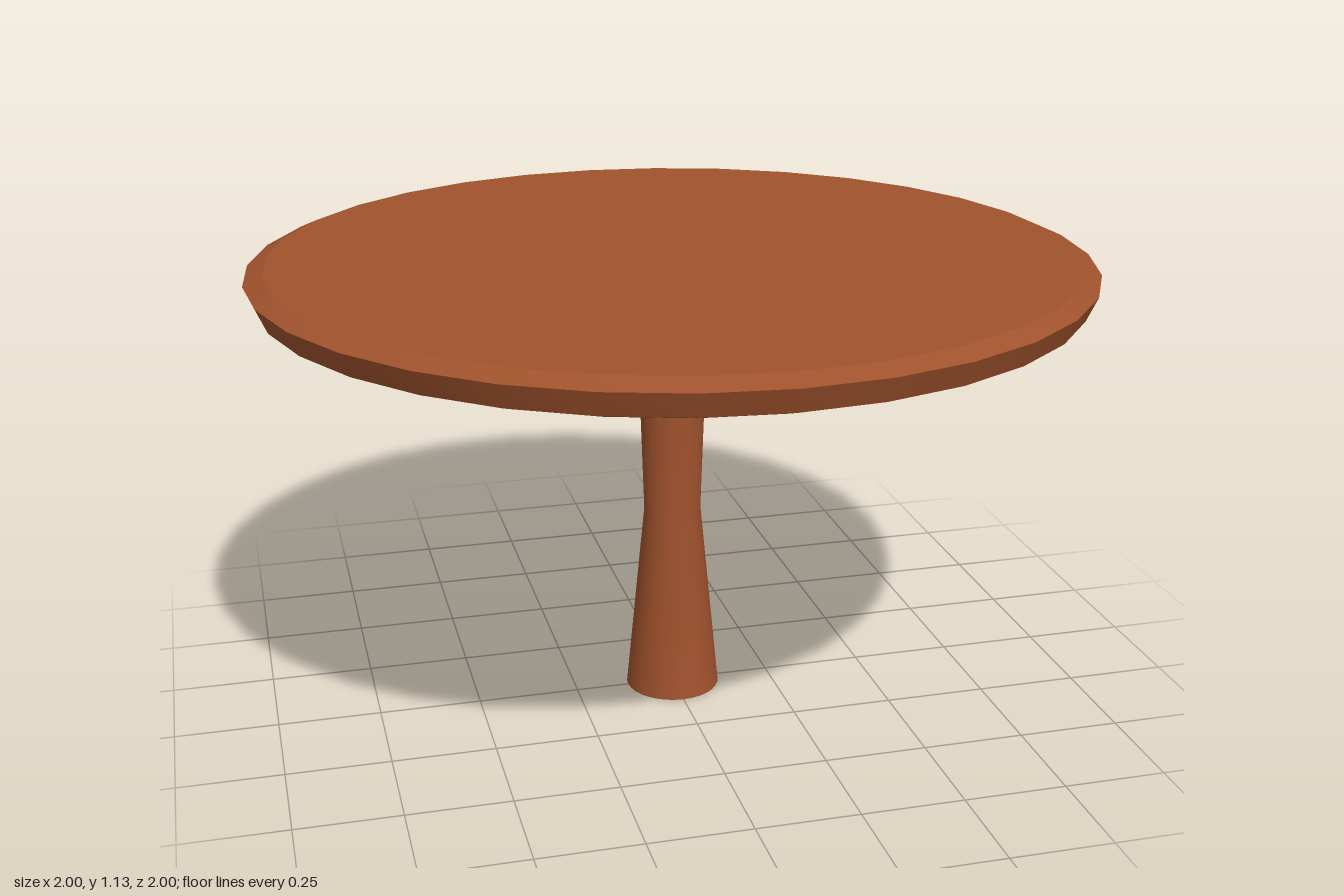
import * as THREE from 'three';
import { toCreasedNormals } from 'three/addons/utils/BufferGeometryUtils.js';

const wood = new THREE.MeshStandardMaterial({ color: 0xa0522d });

// Turned part from [radius, height] pairs, listed bottom to top
function turned(name, profile) {
  const points = profile.map(([r, y]) => new THREE.Vector2(r, y));
  const geometry = toCreasedNormals(new THREE.LatheGeometry(points, 32), 0.35);
  const mesh = new THREE.Mesh(geometry, wood);
  mesh.name = name;
  return mesh;
}

export function createModel() {
  const group = new THREE.Group();
  group.name = 'pedestalTable';

  // Waisted column with a flared foot
  group.add(turned('pedestal', [
    [0, 0], [0.117, 0], [0.07, 0.48], [0.08, 0.79], [0.085, 0.92],
  ]));

  // Round top: shallow cone underneath, bevelled rim, flat surface
  group.add(turned('tabletop', [
    [0, 0.918], [0.085, 0.918], [0.92, 1.035], [0.975, 1.055],
    [1, 1.112], [0.955, 1.132], [0, 1.132],
  ]));

  return group;
}
